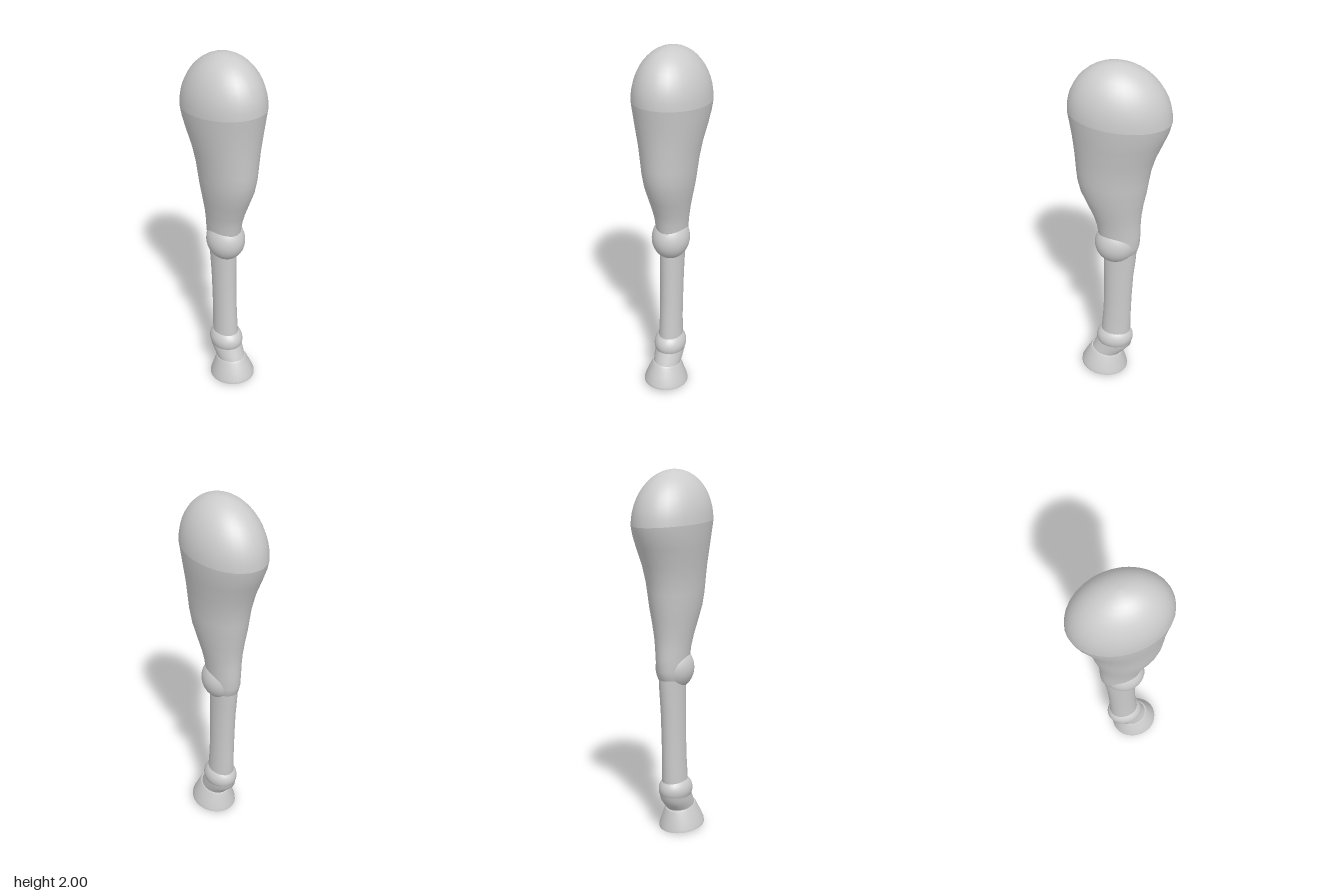
import * as THREE from 'three';

const SIDES = 32;

// Lofts elliptical rings from top to bottom.
// Each ring: [left x, left y, right x, right y, half depth]
function loft(rings) {
  const pos = [], index = [];
  for (const [xl, yl, xr, yr, rz] of rings) {
    for (let j = 0; j < SIDES; j++) {
      const a = (j / SIDES) * Math.PI * 2, t = (1 + Math.cos(a)) / 2;
      pos.push(xl + (xr - xl) * t, yl + (yr - yl) * t, rz * Math.sin(a));
    }
  }
  for (let i = 0; i < rings.length - 1; i++) {
    for (let j = 0; j < SIDES; j++) {
      const k = (j + 1) % SIDES;
      const a = i * SIDES + j, b = i * SIDES + k, c = a + SIDES, d = b + SIDES;
      index.push(a, b, c, b, d, c);
    }
  }
  const g = new THREE.BufferGeometry();
  g.setAttribute('position', new THREE.Float32BufferAttribute(pos, 3));
  g.setIndex(index);
  g.computeVertexNormals();
  return g;
}

// Flat end: a ring collapsed to its centre
const centre = ([xl, yl, xr, yr]) => {
  const x = (xl + xr) / 2, y = (yl + yr) / 2;
  return [x, y, x, y, 0];
};

export function createModel() {
  const group = new THREE.Group();
  const grey = new THREE.MeshStandardMaterial({ color: 0xcccccc });
  grey.name = 'light grey';

  const add = (name, geometry) => {
    const mesh = new THREE.Mesh(geometry, grey);
    mesh.name = name;
    group.add(mesh);
    return mesh;
  };
  const joint = (name, x, y, rx, ry, rz) => {
    const mesh = add(name, new THREE.SphereGeometry(1, SIDES, 20));
    mesh.position.set(x, y, 0);
    mesh.scale.set(rx, ry, rz);
    return mesh;
  };

  // Rounded haunch on top, sitting on a slightly tilted ring
  const dome = [];
  for (let i = 0; i <= 12; i++) {
    const a = (i / 12) * Math.PI / 2, s = Math.sin(a), y = 1.725 + 0.275 * Math.cos(a);
    dome.push([-0.262 * s, y - 0.025 * s, 0.262 * s, y + 0.025 * s, 0.197 * s]);
  }
  add('haunch', loft(dome));

  // Muscular upper leg, running behind the knee
  add('upperLeg', loft([
    [-0.262, 1.70, 0.262, 1.75, 0.197],
    [-0.25, 1.65, 0.253, 1.69, 0.19],
    [-0.225, 1.59, 0.242, 1.61, 0.178],
    [-0.187, 1.50, 0.233, 1.51, 0.158],
    [-0.162, 1.41, 0.228, 1.41, 0.144],
    [-0.152, 1.35, 0.223, 1.35, 0.138],
    [-0.142, 1.28, 0.208, 1.28, 0.129],
    [-0.126, 1.20, 0.175, 1.20, 0.114],
    [-0.115, 1.12, 0.143, 1.12, 0.098],
    [-0.112, 1.06, 0.126, 1.06, 0.089],
    [-0.112, 1.00, 0.118, 1.00, 0.083],
    [-0.108, 0.93, 0.105, 0.93, 0.078],
    [-0.095, 0.885, 0.09, 0.885, 0.07],
    [-0.075, 0.862, 0.07, 0.862, 0.055],
    [0, 0.855, 0, 0.855, 0],
  ]));

  joint('knee', 0.023, 0.94, 0.115, 0.12, 0.103);

  // Slender shin
  add('shin', loft([
    [-0.093, 0.90, 0.09, 0.90, 0.068],
    [-0.088, 0.82, 0.09, 0.82, 0.066],
    [-0.075, 0.70, 0.09, 0.70, 0.064],
    [-0.067, 0.55, 0.092, 0.55, 0.063],
    [-0.063, 0.42, 0.099, 0.42, 0.063],
    [-0.062, 0.32, 0.108, 0.32, 0.066],
    [-0.055, 0.25, 0.11, 0.25, 0.068],
  ]));

  joint('fetlock', 0.031, 0.243, 0.108, 0.085, 0.09);

  // Slanted pastern between fetlock and hoof
  add('pastern', loft([
    [-0.072, 0.225, 0.12, 0.25, 0.083],
    [-0.066, 0.185, 0.14, 0.205, 0.082],
    [-0.035, 0.15, 0.155, 0.175, 0.08],
    [-0.008, 0.12, 0.168, 0.145, 0.076],
  ]));

  // Flared hoof with flat top and sole
  const top = [-0.012, 0.115, 0.172, 0.154, 0.08];
  const rim = [-0.043, 0.0, 0.232, 0.03, 0.125];
  add('hoofTop', loft([centre(top), top]));
  add('hoofWall', loft([
    top,
    [-0.016, 0.107, 0.182, 0.143, 0.086],
    [-0.028, 0.063, 0.207, 0.096, 0.105],
    [-0.041, 0.018, 0.231, 0.048, 0.123],
    rim,
  ]));
  add('hoofSole', loft([rim, centre(rim)]));

  return group;
}
